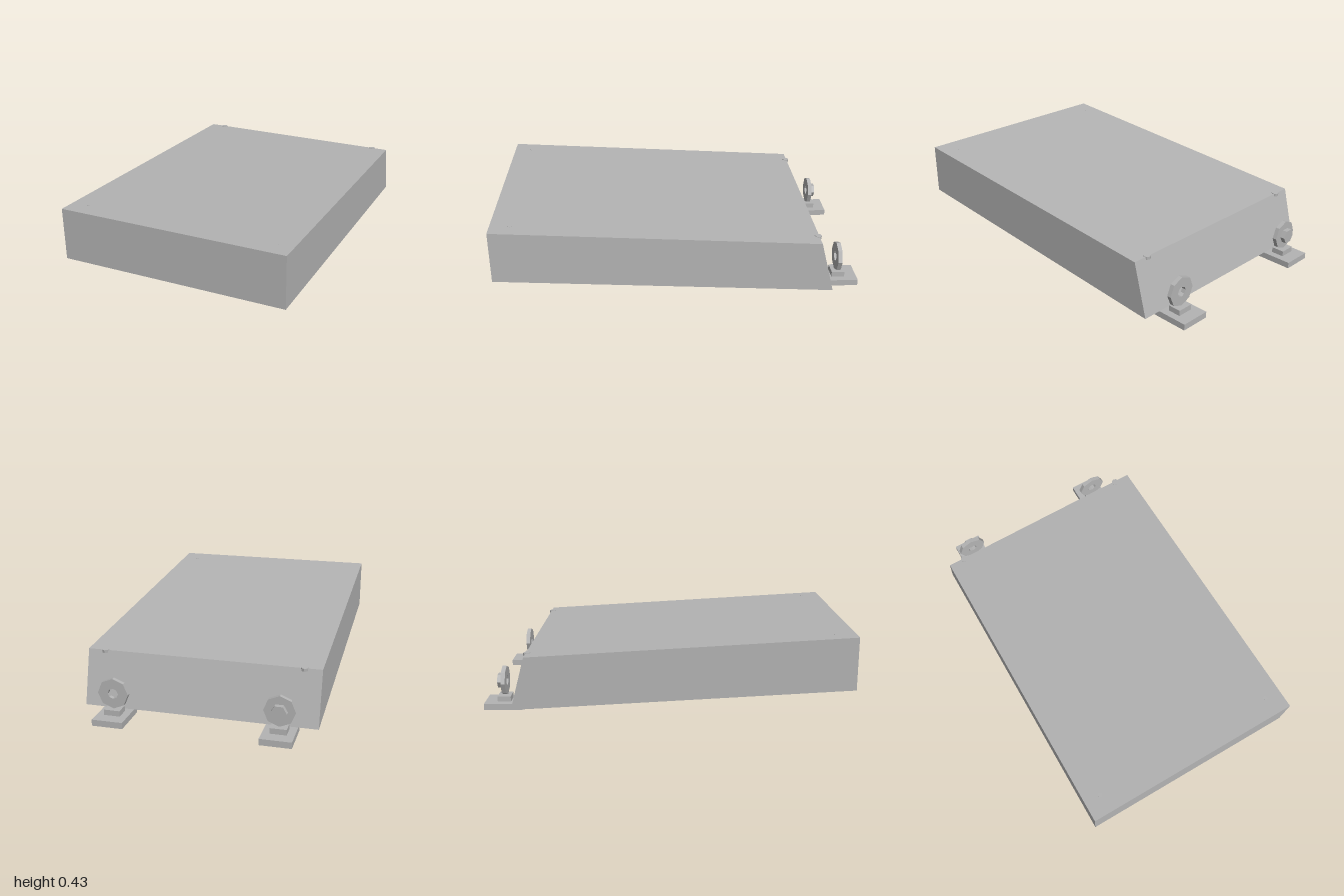
import * as THREE from 'three';

export function createModel() {
  const model = new THREE.Group();
  const grey = new THREE.MeshStandardMaterial({ color: 0xb4b4b4 });
  grey.name = 'plain grey';

  function add(parent, name, geometry, x = 0, y = 0, z = 0) {
    const flat = geometry.index ? geometry.toNonIndexed() : geometry;
    flat.computeVertexNormals();
    const mesh = new THREE.Mesh(flat, grey);
    mesh.name = name;
    mesh.position.set(x, y, z);
    parent.add(mesh);
    return mesh;
  }

  // Regular polygon outline, with its first corner on the x axis
  function polygon(Type, radius, sides) {
    const points = [];
    for (let i = 0; i < sides; i++) {
      const a = (i / sides) * Math.PI * 2;
      points.push(new THREE.Vector2(radius * Math.cos(a), radius * Math.sin(a)));
    }
    return new Type(points);
  }

  function extrude(shape, depth) {
    return new THREE.ExtrudeGeometry(shape, { depth, bevelEnabled: false })
      .translate(0, 0, -depth / 2);
  }

  // Sloping slab: side profile in (z, y), extruded across x
  const profile = new THREE.Shape([
    [-0.835, 0.036], [1, 0.14], [1, 0.429], [-0.757, 0.325],
  ].map(([z, y]) => new THREE.Vector2(z, y)));
  add(model, 'slab', extrude(profile, 1.244).rotateY(-Math.PI / 2));

  // Small studs set almost flush in the slab's upper face
  const slope = -Math.atan2(0.104, 1.757);
  for (const side of [-1, 1]) {
    const back = add(model, 'backStud',
      new THREE.CylinderGeometry(0.02, 0.02, 0.016, 8), side * 0.53, 0.32, -0.751);
    const front = add(model, 'frontStud',
      new THREE.CylinderGeometry(0.012, 0.012, 0.016, 8), side * 0.53, 0.4155, 0.895);
    back.rotation.x = front.rotation.x = slope;
  }

  // Rear hinge feet: plate, block and upright eight-sided eye
  for (const side of [-1, 1]) {
    const foot = new THREE.Group();
    foot.name = side > 0 ? 'leftFoot' : 'rightFoot';
    foot.position.x = side * 0.436;
    model.add(foot);
    add(foot, 'footPlate', new THREE.BoxGeometry(0.165, 0.034, 0.208), 0, 0.017, -0.896);
    add(foot, 'footBlock', new THREE.BoxGeometry(0.086, 0.032, 0.072), 0, 0.048, -0.896);

    const eye = polygon(THREE.Shape, 0.082, 8);
    eye.holes.push(polygon(THREE.Path, 0.028, 8));
    add(foot, 'eye', extrude(eye, 0.023), 0, 0.145, -0.893);

    // Only the right foot carries a six-sided nut
    if (side < 0) {
      add(foot, 'nut', extrude(polygon(THREE.Shape, 0.042, 6), 0.027), 0, 0.145, -0.917);
    }
  }
  return model;
}
